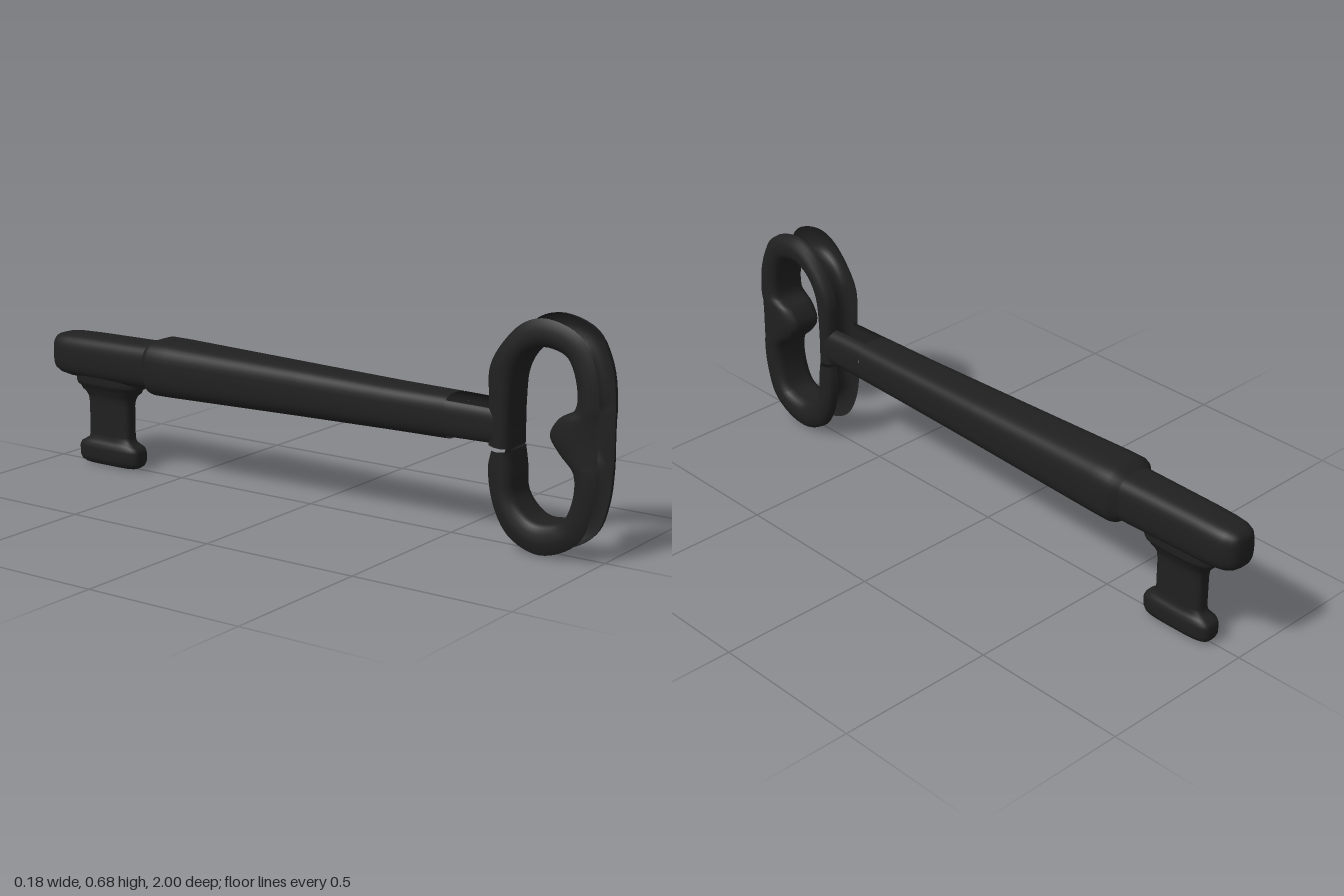
import * as THREE from 'three';

const black = new THREE.MeshStandardMaterial({ color: 0x202020, side: THREE.DoubleSide });
black.name = 'black iron';

// Skin a surface over rows of points; closed joins each row's end to its start.
function skin(name, rows, closed) {
  const n = rows[0].length, index = [];
  for (let i = 0; i < rows.length - 1; i++) {
    for (let j = 0; j < (closed ? n : n - 1); j++) {
      const a = i * n + j, b = i * n + (j + 1) % n;
      index.push(a, b, a + n, b, b + n, a + n);
    }
  }
  const geo = new THREE.BufferGeometry();
  geo.setAttribute('position', new THREE.Float32BufferAttribute(rows.flat(2), 3));
  geo.setIndex(index);
  geo.computeVertexNormals();
  const mesh = new THREE.Mesh(geo, black);
  mesh.name = name;
  return mesh;
}

// Rounded-rectangle arc (superellipse) between two angles in degrees.
function arc(hw, hh, power, from = 0, to = 360, steps = 40) {
  const closed = to - from === 360;
  const round = (v) => Math.sign(v) * Math.abs(v) ** (2 / power);
  return Array.from({ length: closed ? steps : steps + 1 }, (_, k) => {
    const t = THREE.MathUtils.degToRad(from + (to - from) * k / steps);
    return [hw * round(Math.cos(t)), hh * round(Math.sin(t))];
  });
}

// Sections [z, half width, half height, centre y], in order of rising z.
function alongZ(name, sections, from, to) {
  const rows = sections.map(([z, hw, hh, cy]) =>
    arc(hw, hh, 3.2, from, to).map(([x, y]) => [x, cy + y, z]));
  return skin(name, rows, from === undefined);
}

// Open-backed bow: matching inner and outer outline points [inner z, y, outer z, y].
function bow() {
  const outline = [
    [.715, .29, .65, .295], [.715, .41, .65, .42], [.727, .51, .65, .52],
    [.76, .565, .695, .60], [.80, .588, .76, .66], [.84, .59, .83, .677],
    [.89, .57, .935, .64], [.92, .495, .985, .55], [.915, .43, 1, .44],
    [.866, .40, 1, .40], [.838, .35, 1, .345], [.866, .305, 1, .29],
    [.915, .255, .997, .245], [.915, .175, .988, .165], [.885, .11, .955, .07],
    [.85, .097, .89, .02], [.80, .095, .81, .002], [.765, .115, .72, .04],
    [.73, .16, .67, .12], [.725, .23, .65, .23], [.715, .283, .66, .28],
  ];
  const curve = (k) => new THREE.CatmullRomCurve3(
    outline.map((p) => new THREE.Vector3(0, p[k + 1], p[k])));
  const inner = curve(0), outer = curve(2);
  // Wall section: fraction from inner to outer edge, and x
  const section = [
    [.97, -.055], [.85, -.06], [.6, -.067], [.3, -.066], [.1, -.056], [.02, -.045], [0, -.033],
    [0, .033], [.02, .045], [.1, .056], [.3, .066], [.6, .067], [.85, .061], [.97, .05], [1, .033],
  ];
  const rows = [];
  for (let i = 0; i <= 100; i++) {
    const a = inner.getPoint(i / 100), b = outer.getPoint(i / 100);
    rows.push(section.map(([f, x]) => {
      const p = a.clone().lerp(b, f);
      return [x, p.y, p.z];
    }));
  }
  return skin('bow', rows, false);
}

// Bit: sections [y, half width, half length], from top to bottom.
function bit() {
  const sections = [
    [.30, .056, .125], [.272, .056, .125], [.262, .052, .122], [.255, .045, .112],
    [.245, .042, .108], [.235, .036, .095], [.22, .031, .087], [.20, .03, .084],
    [.10, .03, .084], [.085, .031, .088], [.075, .036, .105], [.068, .041, .118],
    [.055, .043, .124], [.025, .042, .124], [.01, .037, .117], [.002, .028, .105],
    [0, .018, .08], [0, 0, 0],
  ];
  return skin('bit', sections.map(([y, hx, hz]) =>
    arc(hx, hz, 3.6).map(([x, z]) => [x, y, z - .783])), true);
}

export function createModel() {
  const key = new THREE.Group();
  key.name = 'key';

  // Tapered shaft with a shoulder at its thick end
  key.add(alongZ('shaft', [
    [-.605, .068, .068, .35], [-.59, .074, .074, .351], [-.575, .088, .085, .352],
    [-.56, .092, .089, .353], [-.5, .0915, .0885, .353], [0, .078, .076, .352],
    [.3, .071, .069, .351], [.51, .067, .066, .351],
  ]));

  // Two side walls that carry the shaft into the bow
  const walls = [[.51, .067, .066, .351], [.60, .066, .064, .351], [.68, .066, .062, .351]];
  key.add(alongZ('leftNeckWall', walls, -71, 71));
  key.add(alongZ('rightNeckWall', walls, 137, 223));

  // Blunt rounded tip
  key.add(alongZ('tip', [
    [-1, 0, 0, .352], [-1, .025, .035, .352], [-.994, .04, .05, .352], [-.982, .052, .059, .352],
    [-.96, .061, .066, .351], [-.92, .066, .070, .35], [-.85, .068, .072, .35],
    [-.7, .070, .073, .35], [-.56, .072, .074, .35],
  ]));

  key.add(bit(), bow());
  return key;
}
